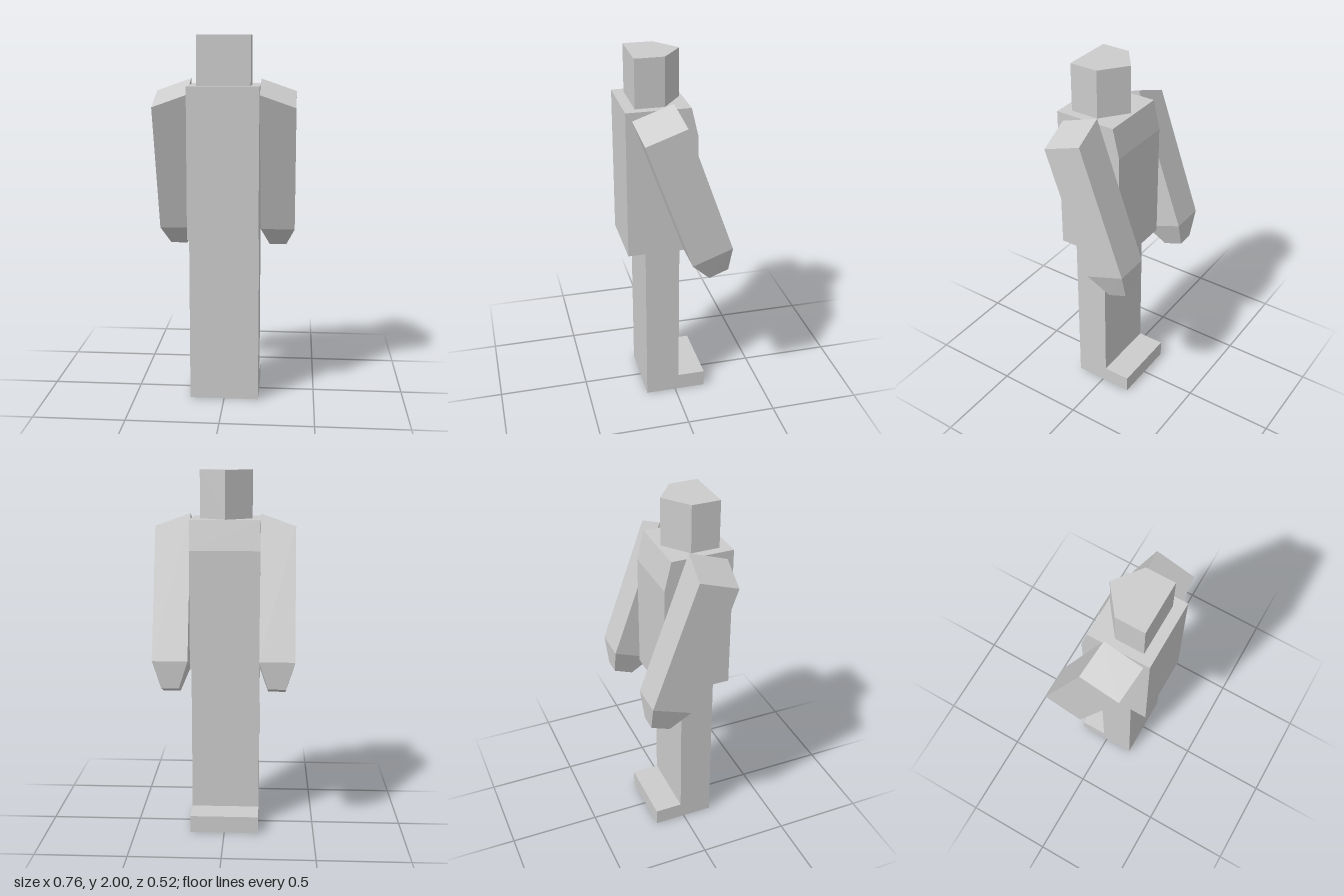
import * as THREE from 'three';

const material = new THREE.MeshStandardMaterial({ color: 0xcccccc, flatShading: true });

function part(name, geometry) {
  const mesh = new THREE.Mesh(geometry, material);
  mesh.name = name;
  return mesh;
}

function prism(points, depth) {
  const shape = new THREE.Shape(points.map(([x, y]) => new THREE.Vector2(x, y)));
  return new THREE.ExtrudeGeometry(shape, { depth, bevelEnabled: false });
}

// Side profile of [z, y] points, extruded across x and centred
function sideProfile(points, width) {
  return prism(points, width).translate(0, 0, -width / 2).rotateY(-Math.PI / 2);
}

// Solid through four-cornered sections, listed from bottom to top
function loft(sections) {
  const positions = [];
  const quad = (a, b, c, d) => positions.push(...a, ...b, ...c, ...a, ...c, ...d);
  for (let s = 0; s < sections.length - 1; s++) {
    const low = sections[s], high = sections[s + 1];
    for (let i = 0; i < 4; i++) {
      const j = (i + 1) % 4;
      quad(low[i], low[j], high[j], high[i]);
    }
  }
  quad(...[...sections[0]].reverse());
  quad(...sections[sections.length - 1]);
  const geometry = new THREE.BufferGeometry();
  geometry.setAttribute('position', new THREE.Float32BufferAttribute(positions, 3));
  geometry.computeVertexNormals();
  return geometry;
}

// Arm slanting backwards, with a sloped shoulder and a tapered hand
function armGeometry(side) {
  const sections = [
    [[0.238, 0.82, -0.15], [0.333, 0.82, -0.15], [0.333, 0.86, -0.255], [0.238, 0.86, -0.255]],
    [[0.19, 0.93, -0.045], [0.38, 0.93, -0.045], [0.38, 1.01, -0.262], [0.19, 1.01, -0.262]],
    [[0.19, 1.695, 0.228], [0.38, 1.627, 0.204], [0.38, 1.703, -0.012], [0.19, 1.77, 0.013]],
  ];
  if (side > 0) return loft(sections);
  return loft(sections.map((ring) => ring.map(([x, y, z]) => [-x, y, z]).reverse()));
}

export function createModel() {
  const model = new THREE.Group();
  model.name = 'blockFigure';

  // Legs and feet in one L-shaped block
  model.add(part('legs', sideProfile(
    [[0.168, 0], [0.168, 0.93], [-0.02, 0.93], [-0.02, 0.095], [-0.174, 0.095], [-0.174, 0]], 0.38)));

  // Torso with a chamfered upper edge
  model.add(part('torso', sideProfile(
    [[0.262, 0.93], [0.262, 1.74], [-0.08, 1.74], [-0.118, 1.58], [-0.118, 0.93]], 0.38)));

  // Five-sided head
  const head = prism(
    [[-0.142, -0.204], [0.142, -0.204], [0.142, -0.047], [0, 0.061], [-0.142, -0.047]], 0.26);
  model.add(part('head', head.rotateX(-Math.PI / 2).translate(0, 1.74, 0)));

  // Mirrored arms
  model.add(part('leftArm', armGeometry(1)));
  model.add(part('rightArm', armGeometry(-1)));

  return model;
}
